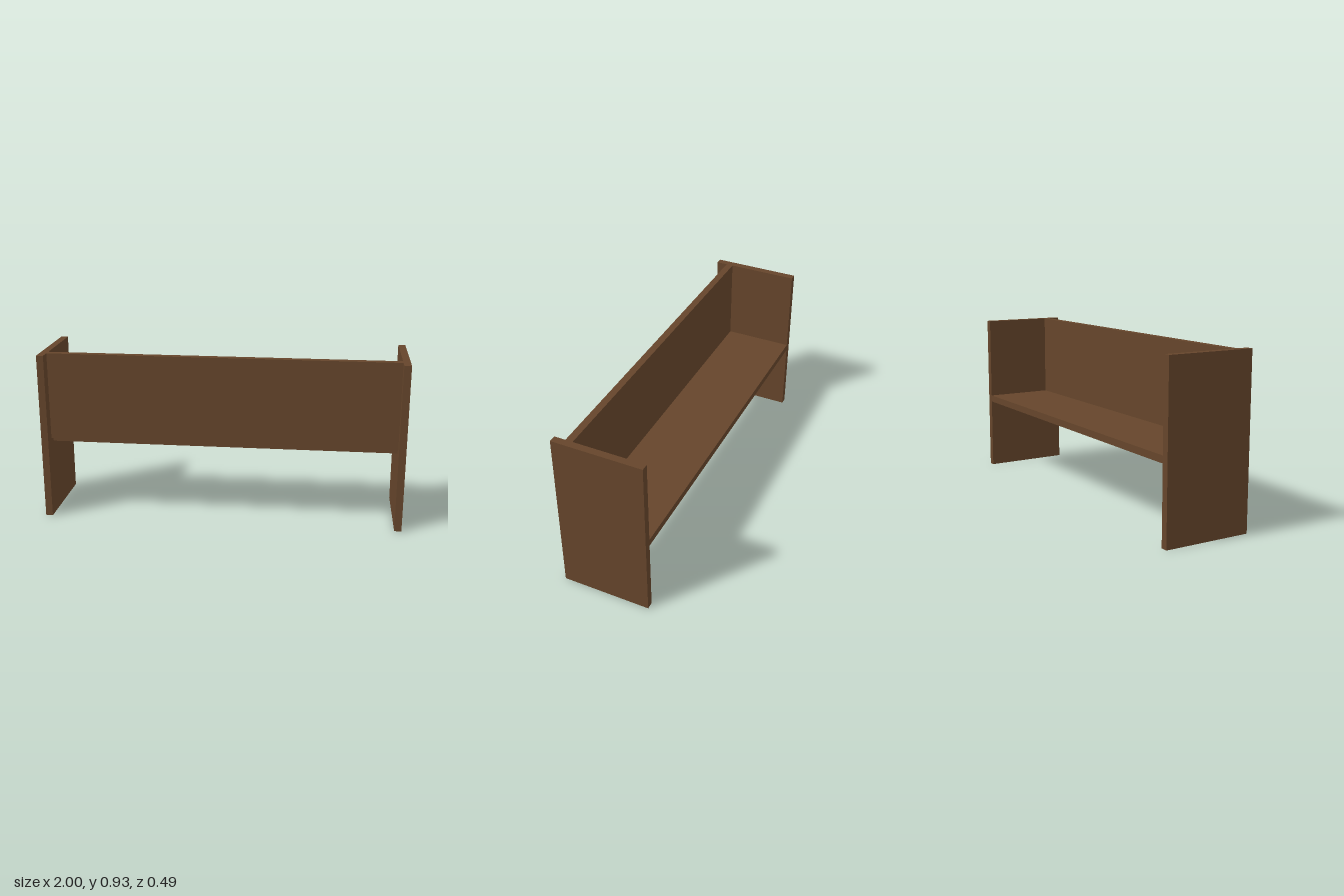
import * as THREE from 'three';

export function createModel() {
  const group = new THREE.Group();
  const wood = new THREE.MeshStandardMaterial({ color: 0x65452b });
  wood.name = 'brown wood';

  // Flat board given by its lower and upper corners
  function board(name, [x0, y0, z0], [x1, y1, z1]) {
    const mesh = new THREE.Mesh(new THREE.BoxGeometry(x1 - x0, y1 - y0, z1 - z0), wood);
    mesh.position.set((x0 + x1) / 2, (y0 + y1) / 2, (z0 + z1) / 2);
    mesh.name = name;
    group.add(mesh);
  }

  const t = 0.039;          // board thickness
  const inner = 1 - t;      // inside face of the end panels
  const height = 0.932;
  const depth = 0.245;      // half depth
  const panelBack = 0.145;  // where shelf meets front panel

  // End panels
  board('leftEndPanel', [inner, 0, -depth], [1, height, depth]);
  board('rightEndPanel', [-1, 0, -depth], [-inner, height, depth]);

  // Shelf, with the front panel lapping over its front edge
  board('shelf', [-inner, 0.416, -depth], [inner, 0.416 + t, panelBack]);
  board('frontPanel', [-inner, 0.444, panelBack], [inner, height, panelBack + t]);

  return group;
}
